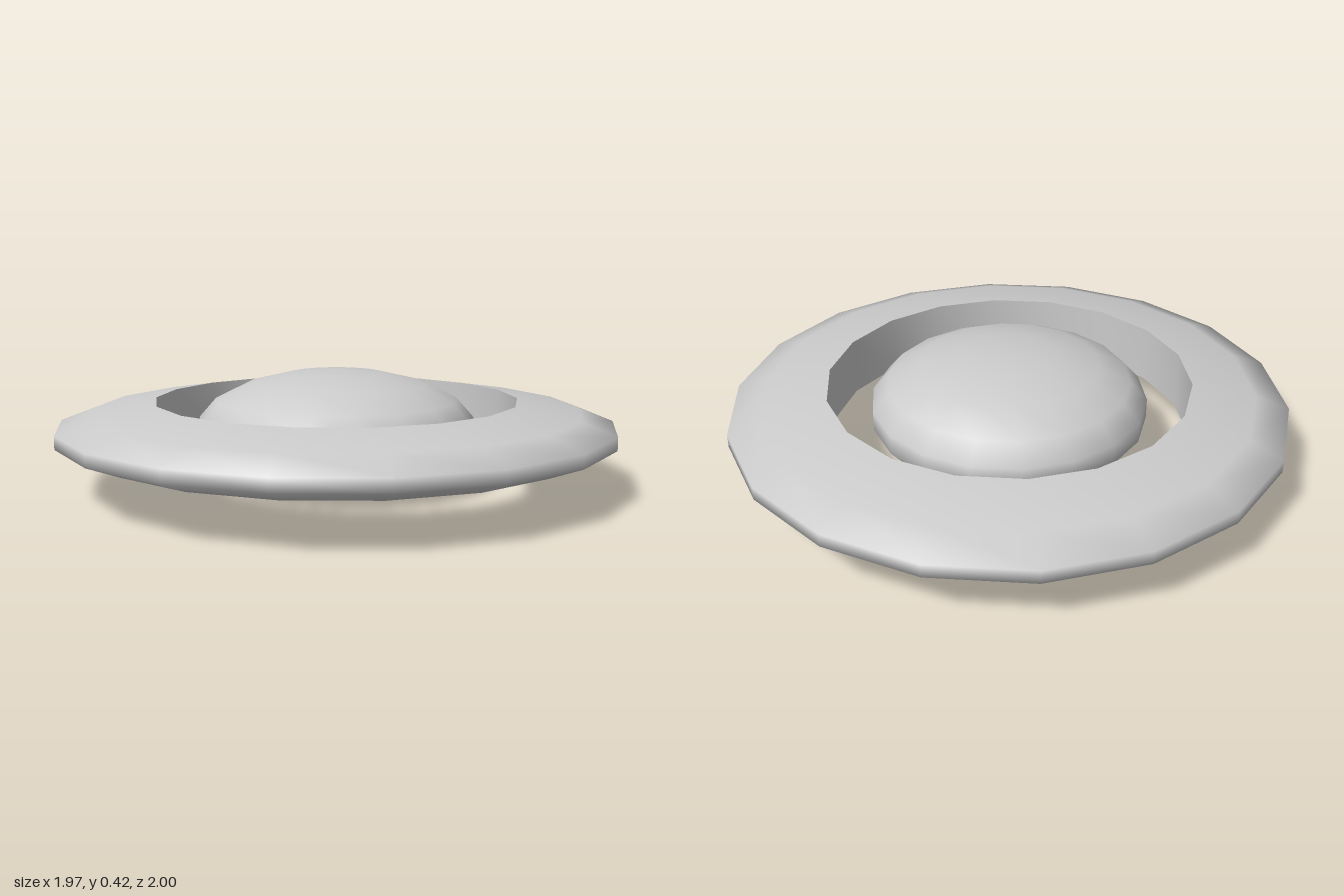
import * as THREE from 'three';
import { toCreasedNormals } from 'three/addons/utils/BufferGeometryUtils.js';

const SIDES = 18;
const MID = 0.21; // height of the shared centre plane

export function createModel() {
  const group = new THREE.Group();
  const material = new THREE.MeshStandardMaterial({ color: 0xcccccc });

  function add(name, geometry) {
    const mesh = new THREE.Mesh(geometry, material);
    mesh.name = name;
    mesh.position.y = MID;
    group.add(mesh);
  }

  // Flat disc ring: upper half of the section, mirrored for the lower half
  const upper = [[1, 0.023], [0.88, 0.069], [0.653, 0.106]];
  const lower = upper.map(([r, y]) => [r, -y]).reverse();
  const section = [...lower, ...upper, lower[0]].map(([r, y]) => new THREE.Vector2(r, y));
  add('ring', toCreasedNormals(new THREE.LatheGeometry(section, SIDES), 1.4));

  // Flattened globe floating in the middle of the ring
  const globe = new THREE.SphereGeometry(0.504, SIDES, 9);
  globe.rotateY(Math.PI / 2);
  globe.scale(1, 0.21 / 0.504, 1);
  add('globe', globe);

  return group;
}
